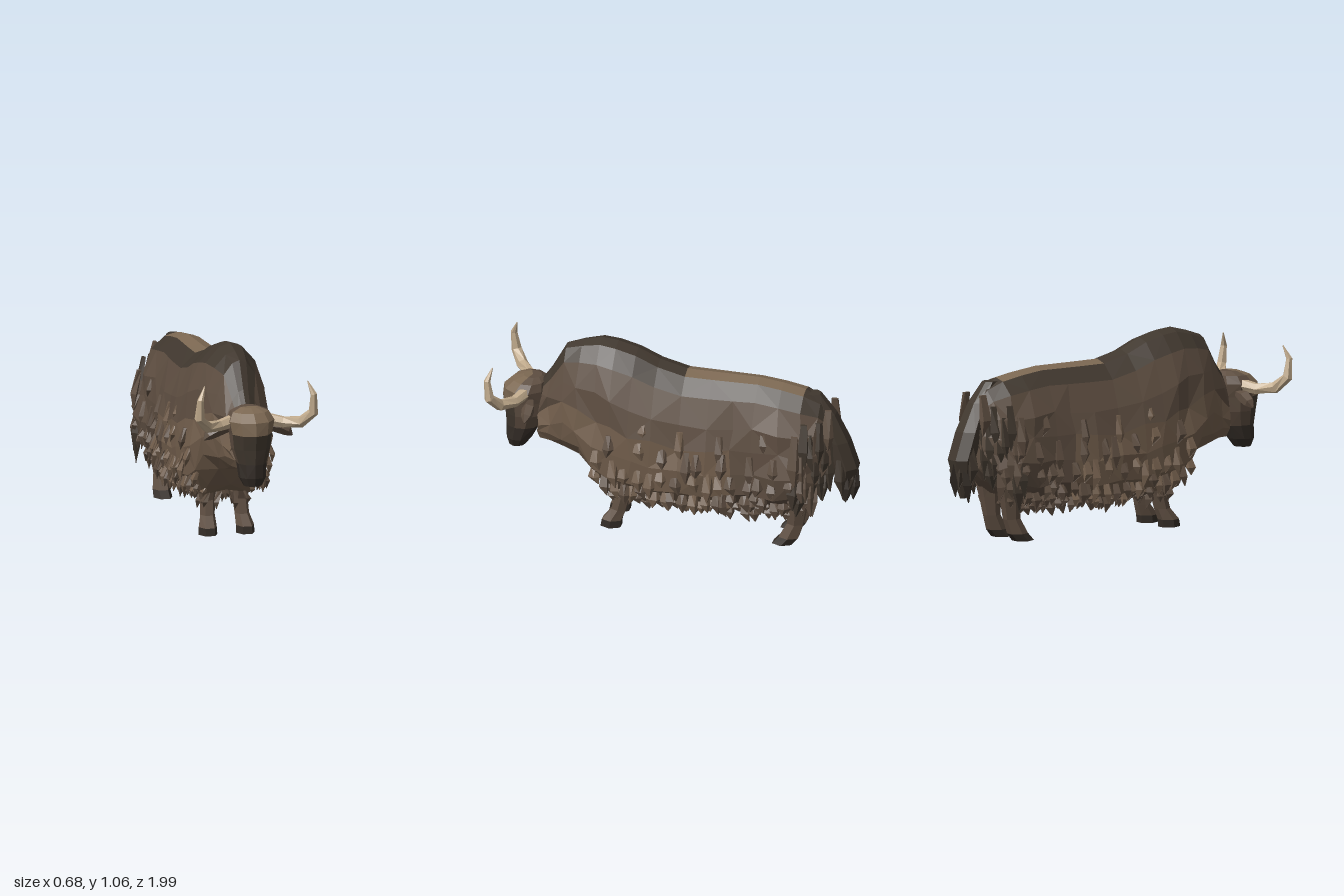
import * as THREE from 'three';

const paint = (color) => new THREE.MeshStandardMaterial({ color, flatShading: true });
const DARK = 0, MID = 1, LIGHT = 2, TAN = 3, BLACK = 4, HORN = 5;
const MATS = [0x40372e, 0x5e4e41, 0x725e4c, 0x7c6852, 0x332c26, 0xc0aa8c].map(paint);

function seeded(seed) {
  return () => {
    seed = (seed * 16807) % 2147483647;
    return seed / 2147483647;
  };
}

// Skin a list of equal-sized rings; each ring runs counter-clockwise about the direction of travel.
function loft(rings, tone, out = MATS.map(() => [])) {
  const n = rings[0].length;
  const tri = (m, ...pts) => pts.forEach((p) => out[m].push(p.x, p.y, p.z));
  for (let i = 0; i < rings.length - 1; i++) {
    for (let j = 0; j < n; j++) {
      const k = (j + 1) % n, m = tone(i, j);
      const a = rings[i][j], b = rings[i][k], c = rings[i + 1][j], d = rings[i + 1][k];
      if ((i + j) % 2) { tri(m, a, b, c); tri(m, b, d, c); }
      else { tri(m, a, b, d); tri(m, a, d, c); }
    }
  }
  [0, rings.length - 1].forEach((i) => {
    const r = rings[i];
    const mid = r.reduce((s, p) => s.add(p), new THREE.Vector3()).divideScalar(n);
    r.forEach((p, j) => {
      const q = r[(j + 1) % n], m = tone(Math.min(i, rings.length - 2), j);
      if (i === 0) tri(m, mid, q, p); else tri(m, mid, p, q);
    });
  });
  return out;
}

// One mesh with a material group for each tone in use.
function toMesh(name, buckets) {
  const g = new THREE.BufferGeometry();
  g.setAttribute('position', new THREE.Float32BufferAttribute(buckets.flat(), 3));
  let start = 0;
  buckets.forEach((b, m) => {
    if (b.length) g.addGroup(start, b.length / 3, m);
    start += b.length / 3;
  });
  g.computeVertexNormals();
  const mesh = new THREE.Mesh(g, MATS);
  mesh.name = name;
  return mesh;
}

// Horizontal ring, for parts stacked upwards.
function flatRing([x, y, z, rx, rz], n, turn = 0) {
  return Array.from({ length: n }, (_, k) => {
    const a = (k / n) * Math.PI * 2 + turn;
    return new THREE.Vector3(x + rx * Math.sin(a), y, z + rz * Math.cos(a));
  });
}

// Tapered tube along a path, with radii across and along the height.
function horn(points, radii, n) {
  return points.map((p, i) => {
    const t = points[Math.min(i + 1, points.length - 1)].clone().sub(points[Math.max(i - 1, 0)]).normalize();
    const u = new THREE.Vector3(0, 0, 1).addScaledVector(t, -t.z).normalize();
    const v = t.clone().cross(u);
    return Array.from({ length: n }, (_, k) => {
      const a = (k / n) * Math.PI * 2;
      return p.clone().addScaledVector(u, radii[i] * Math.cos(a)).addScaledVector(v, radii[i] * Math.sin(a));
    });
  });
}

// Body stations from neck to rump: z, top, bottom, half width.
const STATIONS = [
  [0.76, 0.76, 0.44, 0.08], [0.69, 0.86, 0.43, 0.1], [0.61, 1.005, 0.41, 0.14], [0.52, 1.035, 0.37, 0.185],
  [0.42, 1.06, 0.26, 0.22], [0.33, 1.05, 0.21, 0.24], [0.22, 1.02, 0.19, 0.242], [0.1, 0.965, 0.19, 0.24],
  [-0.05, 0.925, 0.18, 0.24], [-0.2, 0.922, 0.18, 0.235], [-0.33, 0.92, 0.19, 0.225], [-0.45, 0.918, 0.21, 0.215],
  [-0.58, 0.9, 0.21, 0.225], [-0.7, 0.875, 0.23, 0.225], [-0.79, 0.83, 0.31, 0.17], [-0.85, 0.74, 0.4, 0.1],
];
// Half outline: fraction of width, fraction of height.
const OUTLINE = [[0, 1], [0.28, 0.975], [0.62, 0.87], [0.85, 0.68], [0.97, 0.5], [1.02, 0.32], [0.93, 0.14], [0.55, 0.02], [0, 0.03]];

function halfWidth(f) {
  let i = 1;
  while (i < OUTLINE.length - 2 && OUTLINE[i][1] > f) i++;
  const [x0, y0] = OUTLINE[i - 1], [x1, y1] = OUTLINE[i];
  return THREE.MathUtils.lerp(x0, x1, (f - y0) / (y1 - y0));
}

function station(z) {
  let i = 1;
  while (i < STATIONS.length - 1 && STATIONS[i][0] > z) i++;
  const a = STATIONS[i - 1], b = STATIONS[i], t = (z - a[0]) / (b[0] - a[0]);
  return a.map((v, k) => THREE.MathUtils.lerp(v, b[k], t));
}

function makeBody() {
  const rnd = seeded(11);
  const last = OUTLINE.length - 1;
  const rings = STATIONS.map(([z, top, bottom, w]) => {
    const half = OUTLINE.map(([fx, fy], j) => {
      const rough = j > 2 && j < last ? 0.03 : 0;
      return new THREE.Vector3(w * fx + (rnd() - 0.5) * rough, bottom + (top - bottom) * fy + (rnd() - 0.5) * rough, z + (rnd() - 0.5) * rough);
    });
    const other = half.slice(1, last).reverse().map((p) => new THREE.Vector3(-p.x, p.y, p.z));
    return [...half, ...other];
  });
  return toMesh('body', loft(rings, (i, j) => {
    const s = Math.min(j, 2 * last - 1 - j);
    const z = STATIONS[i][0];
    if (s === 0 && z < -0.04 && z > -0.7) return TAN;
    if (s < 2) return DARK;
    if (s < 4 || z < -0.3) return MID;
    return LIGHT;
  }));
}

// Pointed lock of hair hanging from (x, y, z), its tip leaning outwards.
function lock(out, x, y, z, length, width, lean, tone, rnd) {
  const s = Math.sign(x) || 1;
  const tipZ = z - (rnd() - 0.3) * 0.04;
  loft([
    flatRing([x + s * lean, y - length, tipZ, 0.002, 0.003], 4),
    flatRing([x + s * (lean * 0.6 + 0.004), y - length * 0.6, z, width * 0.45, width * 0.8], 4, rnd()),
    flatRing([x - s * 0.012, y, z, width * 0.25, width * 0.5], 4, rnd()),
  ], () => tone, out);
}

function makeCoat() {
  const coat = MATS.map(() => []);
  const rnd = seeded(77);
  // rows: height fraction, spacing, length, width, front z, back z
  const rows = [[0.03, 0.045, 0.08, 0.036, 0.38, -0.72], [0.12, 0.055, 0.12, 0.04, 0.42, -0.76],
    [0.27, 0.075, 0.14, 0.042, 0.4, -0.78], [0.45, 0.12, 0.15, 0.04, 0.3, -0.74], [0.6, 0.2, 0.14, 0.035, 0.1, -0.7]];
  rows.forEach(([f, step, length, width, front, back]) => {
    for (let z = front; z > back; z -= step) {
      const zz = z + (rnd() - 0.5) * step * 0.6;
      const [, top, bottom, w] = station(zz);
      const ff = Math.max(0.02, f + (rnd() - 0.5) * 0.08);
      const len = length * (0.7 + rnd() * 0.5), lean = 0.004 + rnd() * 0.014;
      const tone = zz < -0.3 ? MID : rnd() < 0.6 ? LIGHT : MID;
      for (const s of [1, -1]) lock(coat, s * w * halfWidth(ff), bottom + (top - bottom) * ff + 0.03, zz, len, width, lean, tone, rnd);
    }
  });
  // belly fringe
  for (let z = 0.34; z > -0.66; z -= 0.065) {
    for (const x of [-0.11, -0.04, 0.04, 0.11]) lock(coat, x, 0.23, z + (rnd() - 0.5) * 0.04, 0.07 + rnd() * 0.05, 0.04, 0.01, MID, rnd);
  }
  // long hair over the haunches and rump
  for (let i = 0; i < 16; i++) {
    const x = 0.09 + 0.13 * ((i * 5) % 8) / 7, y = 0.83 - 0.35 * (i / 15) - x * 0.35;
    const z = -0.84 + Math.max(0, x - 0.09) * 1.2;
    for (const s of [1, -1]) lock(coat, s * x, y, z, 0.2 + rnd() * 0.1, 0.048, 0.02, i % 3 ? DARK : MID, rnd);
  }
  return toMesh('shaggyCoat', coat);
}

// Head rings from chin to poll: x, y, z, half width, half depth.
function makeHead() {
  const rings = [[0, 0.38, 0.885, 0.05, 0.045], [0, 0.425, 0.875, 0.074, 0.07], [0, 0.5, 0.855, 0.08, 0.09], [0, 0.58, 0.84, 0.105, 0.112],
    [0, 0.66, 0.84, 0.115, 0.125], [0, 0.73, 0.835, 0.13, 0.122], [0, 0.775, 0.815, 0.105, 0.095], [0, 0.795, 0.8, 0.05, 0.05]];
  const n = 10;
  return toMesh('head', loft(rings.map((r) => flatRing(r, n)), (i, j) => {
    if (i < 2) return BLACK;
    const facing = j < 2 || j > n - 3;
    return i > 3 && facing ? TAN : facing ? DARK : MID;
  }));
}

export function createModel() {
  const yak = new THREE.Group();
  yak.name = 'longHairedOx';
  yak.add(makeBody(), makeCoat(), makeHead());

  const rnd = seeded(5);
  for (const s of [1, -1]) {
    const side = s > 0 ? 'left' : 'right';
    // horns
    const path = [[0.09, 0.725, 0.82], [0.18, 0.71, 0.86], [0.26, 0.72, 0.92], [0.315, 0.78, 0.965], [0.313, 0.88, 0.978], [0.285, 0.95, 0.955]]
      .map(([x, y, z]) => new THREE.Vector3(s * x, y, z));
    yak.add(toMesh(side + 'Horn', loft(horn(path, [0.036, 0.031, 0.032, 0.028, 0.018, 0.003], 6), () => HORN)));

    // drooping ears
    const ear = [[0.1, 0.68, 0.79], [0.17, 0.67, 0.785], [0.22, 0.645, 0.785], [0.245, 0.62, 0.79]].map(([x, y, z]) => new THREE.Vector3(s * x, y, z));
    yak.add(toMesh(side + 'Ear', loft(horn(ear, [0.02, 0.036, 0.03, 0.004], 5), () => MID)));

    // legs, hoof first
    const front = [[0.103, 0, 0.345, 0.052, 0.062], [0.103, 0.04, 0.34, 0.05, 0.06], [0.095, 0.1, 0.305, 0.04, 0.045],
      [0.09, 0.18, 0.285, 0.042, 0.045], [0.1, 0.3, 0.29, 0.06, 0.07]];
    const back = [[0.1, 0, -0.595, 0.052, 0.062], [0.1, 0.04, -0.63, 0.048, 0.06], [0.095, 0.12, -0.665, 0.04, 0.05],
      [0.1, 0.22, -0.675, 0.05, 0.06], [0.11, 0.36, -0.67, 0.075, 0.1]];
    [[front, 'FrontLeg'], [back, 'BackLeg']].forEach(([rows, name]) => {
      const rings = rows.map(([x, ...rest]) => flatRing([s * x, ...rest], 6, Math.PI / 6));
      yak.add(toMesh(side + name, loft(rings, (i) => (i === 0 ? BLACK : MID))));
    });
  }

  // tail with hanging locks
  const tail = [[0, 0.24, -0.915, 0.015, 0.015], [0, 0.34, -0.915, 0.055, 0.05], [0, 0.45, -0.925, 0.085, 0.07],
    [0, 0.6, -0.875, 0.085, 0.07], [0, 0.75, -0.81, 0.065, 0.06], [0, 0.86, -0.74, 0.04, 0.045]];
  const tailHair = loft(tail.map((r) => flatRing(r, 7)), () => DARK);
  for (let i = 0; i < 7; i++) {
    const a = (i / 6 - 0.5) * 2;
    lock(tailHair, a * 0.08, 0.52 - (i % 2) * 0.06, -0.965 + Math.abs(a) * 0.06, 0.2 + rnd() * 0.06, 0.042, 0.004, i % 2 ? BLACK : DARK, rnd);
  }
  yak.add(toMesh('tail', tailHair));
  return yak;
}
